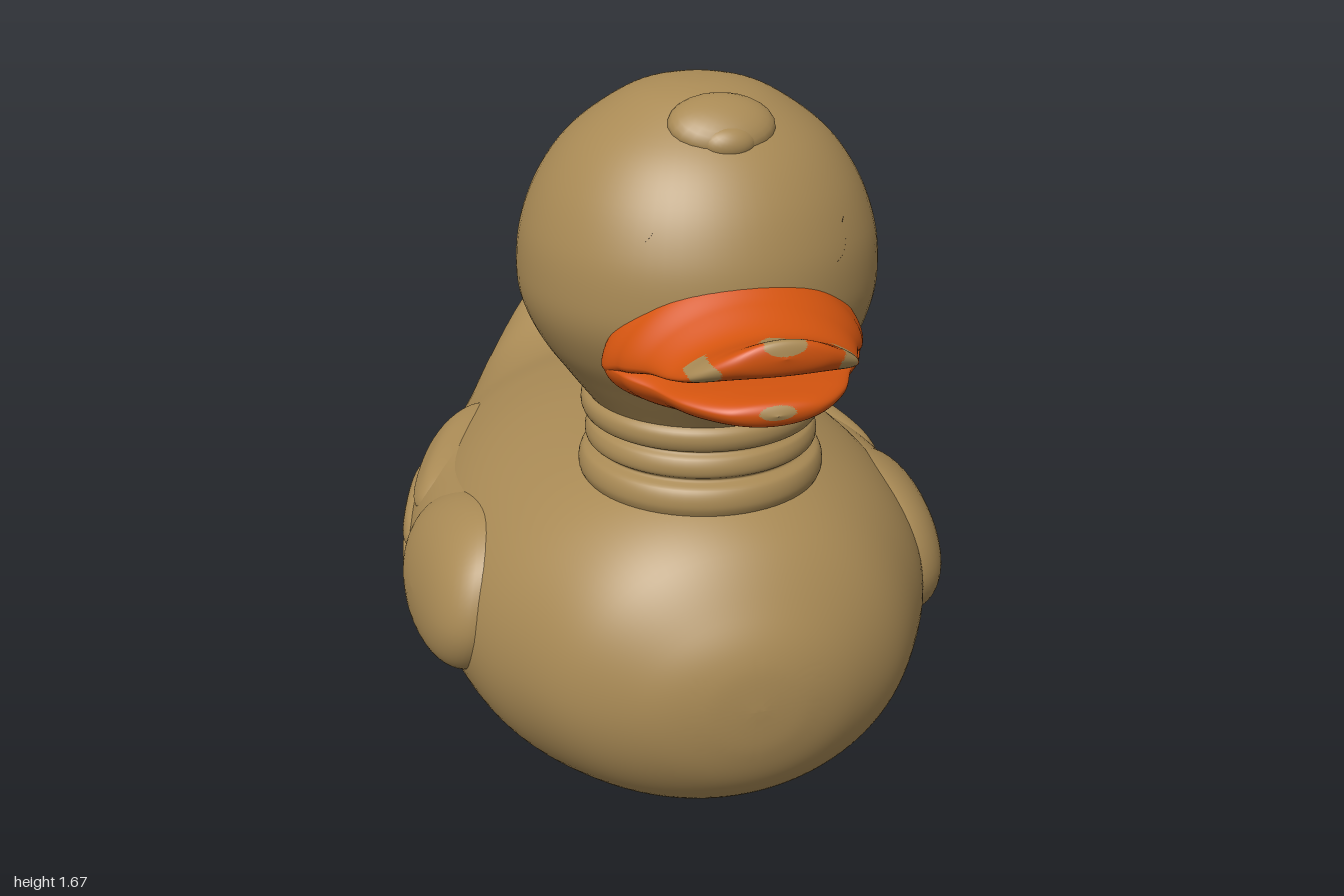
import * as THREE from 'three';
import { toCreasedNormals } from 'three/addons/utils/BufferGeometryUtils.js';

const mat = (name, color) => Object.assign(new THREE.MeshStandardMaterial({ color }), { name });
const V2 = (p) => new THREE.Vector2(p[0], p[1]);

// Cross-section keys, front to back: z, half width, bottom, top, widest height, ridge sharpness
const BODY = [
  [0.88, 0, 0.35, 0.35, 0.35, 1], [0.867, 0.13, 0.23, 0.46, 0.35, 1], [0.82, 0.26, 0.12, 0.56, 0.34, 1],
  [0.72, 0.4, 0.02, 0.69, 0.34, 1], [0.58, 0.5, -0.06, 0.77, 0.34, 1], [0.4, 0.585, -0.12, 0.8, 0.34, 1],
  [0.15, 0.63, -0.16, 0.8, 0.35, 1], [-0.1, 0.625, -0.16, 0.79, 0.35, 1], [-0.35, 0.575, -0.14, 0.76, 0.35, 1],
  [-0.55, 0.505, -0.1, 0.725, 0.36, 1], [-0.7, 0.435, -0.01, 0.745, 0.38, 1.1], [-0.82, 0.365, 0.1, 0.82, 0.42, 1.3],
  [-0.91, 0.28, 0.21, 0.905, 0.48, 1.5], [-0.96, 0.19, 0.32, 0.88, 0.54, 1.5], [-0.99, 0.09, 0.45, 0.76, 0.58, 1.3],
  [-1, 0, 0.58, 0.58, 0.58, 1],
];
const UPPER_BILL = [
  [1, 0, 1.24, 1.24, 1.24, 1], [0.985, 0.1, 1.2, 1.275, 1.235, 1], [0.93, 0.175, 1.18, 1.255, 1.215, 1],
  [0.86, 0.205, 1.165, 1.245, 1.2, 1], [0.78, 0.235, 1.15, 1.28, 1.2, 1], [0.7, 0.275, 1.13, 1.325, 1.2, 1],
  [0.61, 0.275, 1.11, 1.33, 1.19, 1], [0.55, 0, 1.2, 1.2, 1.2, 1],
];
const LOWER_BILL = [
  [0.96, 0, 1.1, 1.1, 1.1, 1], [0.94, 0.1, 1.07, 1.125, 1.1, 1], [0.87, 0.175, 1.05, 1.13, 1.1, 1],
  [0.78, 0.22, 1.03, 1.13, 1.1, 1], [0.7, 0.27, 1.01, 1.14, 1.1, 1], [0.61, 0.27, 1.0, 1.15, 1.1, 1],
  [0.55, 0, 1.1, 1.1, 1.1, 1],
];

// Smooth section sampler: u in 0..1 gives an interpolated key
function sampler(keys) {
  const pairs = [0, 2, 4].map((c) => new THREE.SplineCurve(keys.map((k) => new THREE.Vector2(k[c], k[c + 1]))));
  return (u) => pairs.flatMap((s) => s.getPoint(u).toArray());
}

// Skin a row of rounded sections; bend adjusts height, isSpot picks second-colour faces
function loft(keys, rows, cols, bend, isSpot = () => false) {
  const at = sampler(keys), pos = [], plain = [], spots = [];
  for (let i = 0; i <= rows; i++) {
    const [z, w, b, t, ym, p] = at(i / rows);
    for (let j = 0; j < cols; j++) {
      const a = (j / cols) * Math.PI * 2, c = Math.cos(a), s = Math.sin(a);
      const x = Math.max(w, 0) * Math.sign(c) * Math.abs(c) ** (s > 0 ? p : 1);
      pos.push(x, bend(x, ym + (s > 0 ? t - ym : ym - b) * s), z);
    }
  }
  const add = (...f) => {
    const [x, y, z] = [0, 1, 2].map((k) => f.reduce((sum, v) => sum + pos[v * 3 + k], 0) / 3);
    (isSpot(x, y, z) ? spots : plain).push(...f);
  };
  for (let i = 0; i < rows; i++) for (let j = 0; j < cols; j++) {
    const a = i * cols + j, d = i * cols + ((j + 1) % cols);
    add(a, a + cols, d);
    add(d, a + cols, d + cols);
  }
  const g = new THREE.BufferGeometry();
  g.setAttribute('position', new THREE.Float32BufferAttribute(pos, 3));
  g.setIndex([...plain, ...spots]);
  g.computeVertexNormals();
  g.addGroup(0, plain.length, 0);
  g.addGroup(plain.length, spots.length, 1);
  return g;
}

// Domed pad inside a closed outline, laid on a surface by place(a, b, height)
function pad(outline, centre, height, rim, place, flip) {
  const curve = new THREE.CatmullRomCurve3(outline.map((p) => new THREE.Vector3(p[0], p[1], 0)), true);
  const n = 72, rings = 14, pts = curve.getPoints(n), pos = [], idx = [];
  for (let k = 0; k <= rings; k++) {
    const r = Math.sin((k / rings) * Math.PI / 2);
    for (let j = 0; j < n; j++) {
      const a = centre[0] + (pts[j].x - centre[0]) * r, b = centre[1] + (pts[j].y - centre[1]) * r;
      pos.push(...place(a, b, rim + (height - rim) * Math.sqrt(Math.max(0, 1 - r ** 5))));
      if (k === rings) continue;
      const A = k * n + j, D = k * n + ((j + 1) % n), B = A + n, C = D + n;
      idx.push(...(flip ? [A, C, B, A, D, C] : [A, B, C, A, C, D]));
    }
  }
  const g = new THREE.BufferGeometry();
  g.setAttribute('position', new THREE.Float32BufferAttribute(pos, 3));
  g.setIndex(idx);
  g.computeVertexNormals();
  return g;
}

// Half width of the body at a given z and height
const bodyAt = sampler(BODY);
function bodySide(z, y) {
  let lo = 0, hi = 1;
  for (let i = 0; i < 24; i++) {
    const m = (lo + hi) / 2;
    if (bodyAt(m)[0] > z) lo = m; else hi = m;
  }
  const [, w, b, t, ym, p] = bodyAt(lo);
  const s = Math.min(1, y > ym ? (y - ym) / (t - ym) : (ym - y) / (ym - b));
  return w * Math.sqrt(1 - s * s) ** (y > ym ? p : 1);
}

// Head profile and its front surface
const HEAD_Z = 0.33;
const headPoints = new THREE.SplineCurve([
  [0.25, 0.92], [0.28, 0.96], [0.325, 1.02], [0.375, 1.09], [0.41, 1.17], [0.418, 1.25], [0.405, 1.35],
  [0.36, 1.46], [0.285, 1.555], [0.17, 1.635], [0.08, 1.664], [0, 1.67],
].map(V2)).getPoints(66);
headPoints[66].x = 0;
function headFront(x, y) {
  const i = Math.max(1, headPoints.findIndex((p) => p.y > y));
  const a = headPoints[i - 1], b = headPoints[i];
  const r = a.x + (b.x - a.x) * (y - a.y) / (b.y - a.y);
  return HEAD_Z + Math.sqrt(Math.max(0, r * r - x * x));
}

export function createModel() {
  const duck = new THREE.Group();
  duck.name = 'rubberDuck';
  const tan = mat('tanRubber', 0xa98a55), orange = mat('orangeBill', 0xd4540f), dark = mat('darkEye', 0x2c2226);
  const add = (name, geo, material, parent = duck) => {
    const m = new THREE.Mesh(geo, material);
    m.name = name;
    parent.add(m);
    return m;
  };
  const blob = (name, pos, size, rx = 0, ry = 0) => {
    const m = add(name, new THREE.SphereGeometry(1, 24, 16), tan);
    m.position.set(...pos);
    m.scale.set(...size);
    m.rotation.set(rx, ry, 0);
  };

  // Body with upturned tail and flat base
  const body = loft(BODY, 120, 96, (x, y) => Math.max(0, y));
  body.clearGroups();
  add('body', toCreasedNormals(body, 0.5), tan);
  blob('tailTuft', [0, 0.865, -0.885], [0.035, 0.03, 0.06], 0.75);
  for (const s of [-1, 1]) blob('tailFeather', [s * 0.06, 0.835, -0.88], [0.035, 0.028, 0.07], 0.7, s * 0.5);

  // Ringed neck
  const neck = new THREE.SplineCurve([
    [0.25, 0.68], [0.285, 0.735], [0.292, 0.765], [0.282, 0.795], [0.256, 0.81], [0.272, 0.825], [0.275, 0.845],
    [0.268, 0.865], [0.254, 0.878], [0.275, 0.89], [0.284, 0.915], [0.276, 0.94], [0.24, 0.96],
  ].map(V2)).getPoints(72);
  add('neck', new THREE.LatheGeometry(neck, 64), tan).position.z = 0.375;

  // Head, its lower part easing forward onto the neck
  const head = new THREE.LatheGeometry(headPoints, 72);
  const hp = head.attributes.position;
  for (let i = 0; i < hp.count; i++) {
    hp.setZ(i, hp.getZ(i) + HEAD_Z + 0.045 * THREE.MathUtils.smoothstep(1.2 - hp.getY(i), 0, 0.26));
  }
  add('head', head, tan);
  blob('forelock', [0, 1.6, 0.52], [0.12, 0.05, 0.09], 0.5);
  blob('forelockTip', [0, 1.575, 0.575], [0.06, 0.035, 0.04], 0.7);

  // Bill halves with bare tan patches
  const near = (x, y, cx, cy, rx, ry) => ((x - cx) / rx) ** 2 + ((y - cy) / ry) ** 2 < 1;
  add('upperBill', loft(UPPER_BILL, 90, 96, (x, y) => y - 0.8 * x * x, (x, y, z) =>
    z > 0.88 && (near(x, y, 0, 1.265, 0.045, 0.02) || near(Math.abs(x), y, 0.155, 1.2, 0.03, 0.025))), [orange, tan]);
  add('lowerBill', loft(LOWER_BILL, 90, 96, (x, y) => y + 0.2 * x * x, (x, y, z) =>
    z > 0.88 && near(x, y, 0, 1.105, 0.04, 0.015)), [orange, tan]);

  // Outlines for the wing (z, y) and eye (x, y)
  const wingFront = [[0, 0.18], [0.2, 0.185], [0.37, 0.25], [0.44, 0.37], [0.4, 0.52], [0.28, 0.6], [0.1, 0.595]];
  const wingAll = [...wingFront, [-0.1, 0.585], [-0.3, 0.61], [-0.42, 0.615], [-0.43, 0.56],
    [-0.36, 0.45], [-0.3, 0.34], [-0.18, 0.235]];
  const shoulder = [...wingFront, [-0.01, 0.54], [-0.045, 0.42], [-0.035, 0.28]];
  const feathers = [[-0.235, 0.545, 0.2], [-0.21, 0.43, 0.175], [-0.16, 0.31, 0.14]];
  const eye = [[0.22, 1.45], [0.195, 1.435], [0.19, 1.415], [0.205, 1.395], [0.185, 1.385], [0.162, 1.375],
    [0.165, 1.345], [0.2, 1.322], [0.232, 1.335], [0.246, 1.37], [0.238, 1.395], [0.248, 1.415], [0.243, 1.445]];

  for (const s of [-1, 1]) {
    // Wing: base, rounded shoulder and three feathers
    const wing = new THREE.Group();
    wing.name = s > 0 ? 'leftWing' : 'rightWing';
    duck.add(wing);
    const onBody = (z, y, h) => [s * (bodySide(z, y) + h), y, z];
    add('wingBase', pad(wingAll, [0.05, 0.4], 0.04, -0.015, onBody, s > 0), tan, wing);
    add('wingShoulder', pad(shoulder, [0.18, 0.39], 0.064, -0.01, onBody, s > 0), tan, wing);
    for (const [cz, cy, len] of feathers) {
      const outline = Array.from({ length: 12 }, (_, i) => {
        const a = (i / 12) * Math.PI * 2;
        const u = len * Math.sign(Math.cos(a)) * Math.abs(Math.cos(a)) ** 0.7;
        const v = 0.056 * Math.sign(Math.sin(a)) * Math.abs(Math.sin(a)) ** 0.7;
        return [cz + u, cy + v - 0.2 * u];
      });
      add('wingFeather', pad(outline, [cz, cy], 0.056, 0, onBody, s > 0), tan, wing);
    }

    // Painted eye
    add(s > 0 ? 'leftEye' : 'rightEye', pad(eye, [0.222, 1.385], 0.007, 0.003,
      (x, y, h) => [s * x, y, headFront(x, y) + h], s > 0), dark);
  }
  return duck;
}
